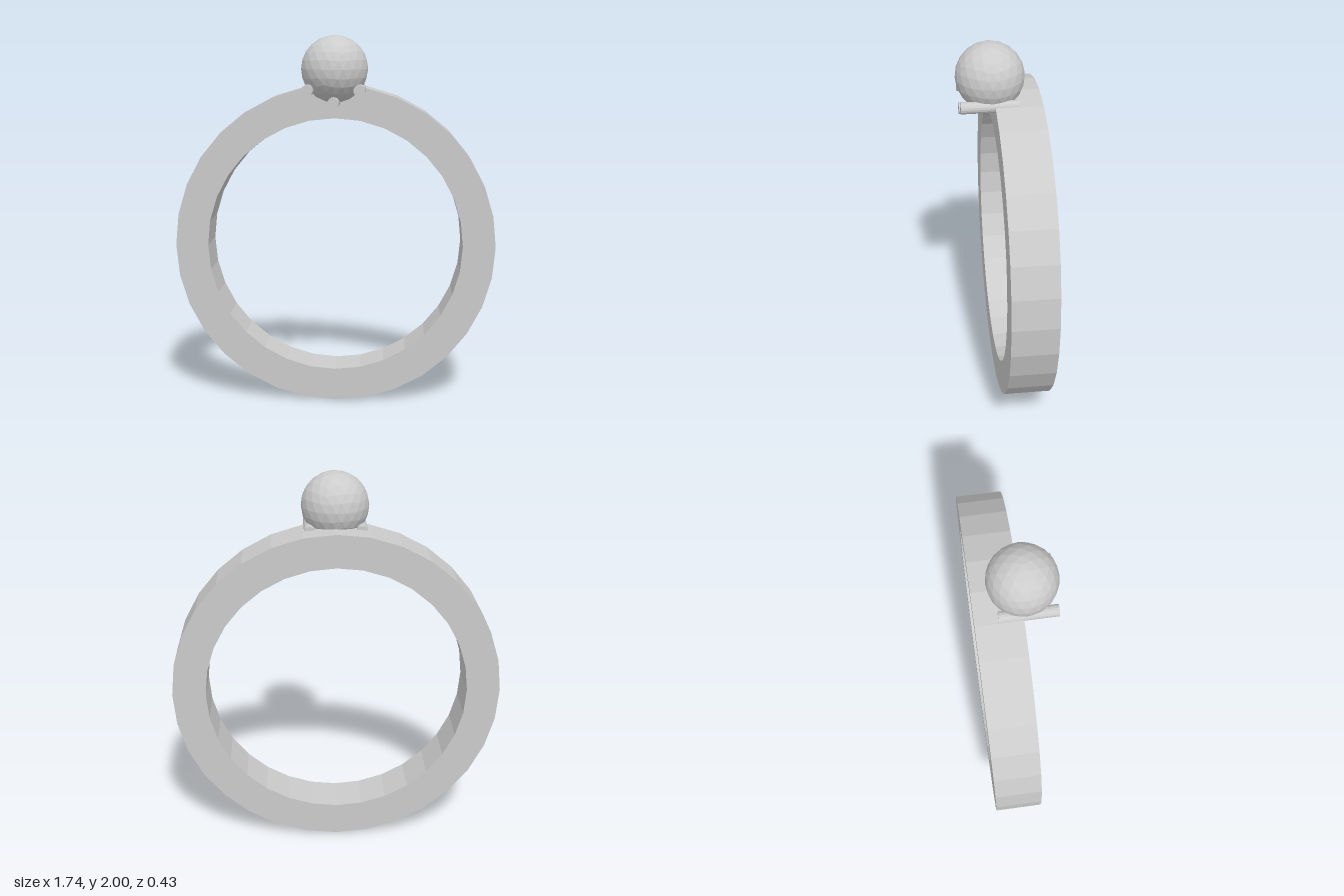
import * as THREE from 'three';

const SIDES = 32;

// Regular polygon with corners at the top, bottom and sides
function ringPoints(radius) {
  return Array.from({ length: SIDES }, (_, i) => {
    const a = (i / SIDES) * Math.PI * 2;
    return new THREE.Vector2(Math.cos(a) * radius, Math.sin(a) * radius);
  });
}

export function createModel() {
  const model = new THREE.Group();
  model.name = 'ring';
  const material = new THREE.MeshStandardMaterial({ color: 0xcccccc, flatShading: true });

  function add(name, geometry, x, y, z) {
    const mesh = new THREE.Mesh(geometry, material);
    mesh.name = name;
    mesh.position.set(x, y, z);
    model.add(mesh);
  }

  // Flat faceted band
  const profile = new THREE.Shape(ringPoints(0.868));
  profile.holes.push(new THREE.Path(ringPoints(0.692)));
  const band = new THREE.ExtrudeGeometry(profile, { depth: 0.24, bevelEnabled: false });
  add('band', band, 0, 0.87, -0.215);

  // Round faceted stone, turned so a corner points straight up
  const stoneRadius = 0.177, stoneY = 1.823;
  const stone = new THREE.IcosahedronGeometry(stoneRadius, 3);
  stone.rotateZ(Math.atan(2 / (1 + Math.sqrt(5))));
  stone.rotateY(Math.PI);
  add('stone', stone, 0, stoneY, 0.037);

  // Three prongs run front to back around the underside of the stone
  const prong = new THREE.CylinderGeometry(0.03, 0.03, 0.295, 16).rotateX(Math.PI / 2);
  const prongs = [['rightProng', -0.135, 1.715], ['bottomProng', 0, 1.65], ['leftProng', 0.135, 1.715]];
  for (const [name, x, y] of prongs) add(name, prong, x, y, 0.05);

  return model;
}
